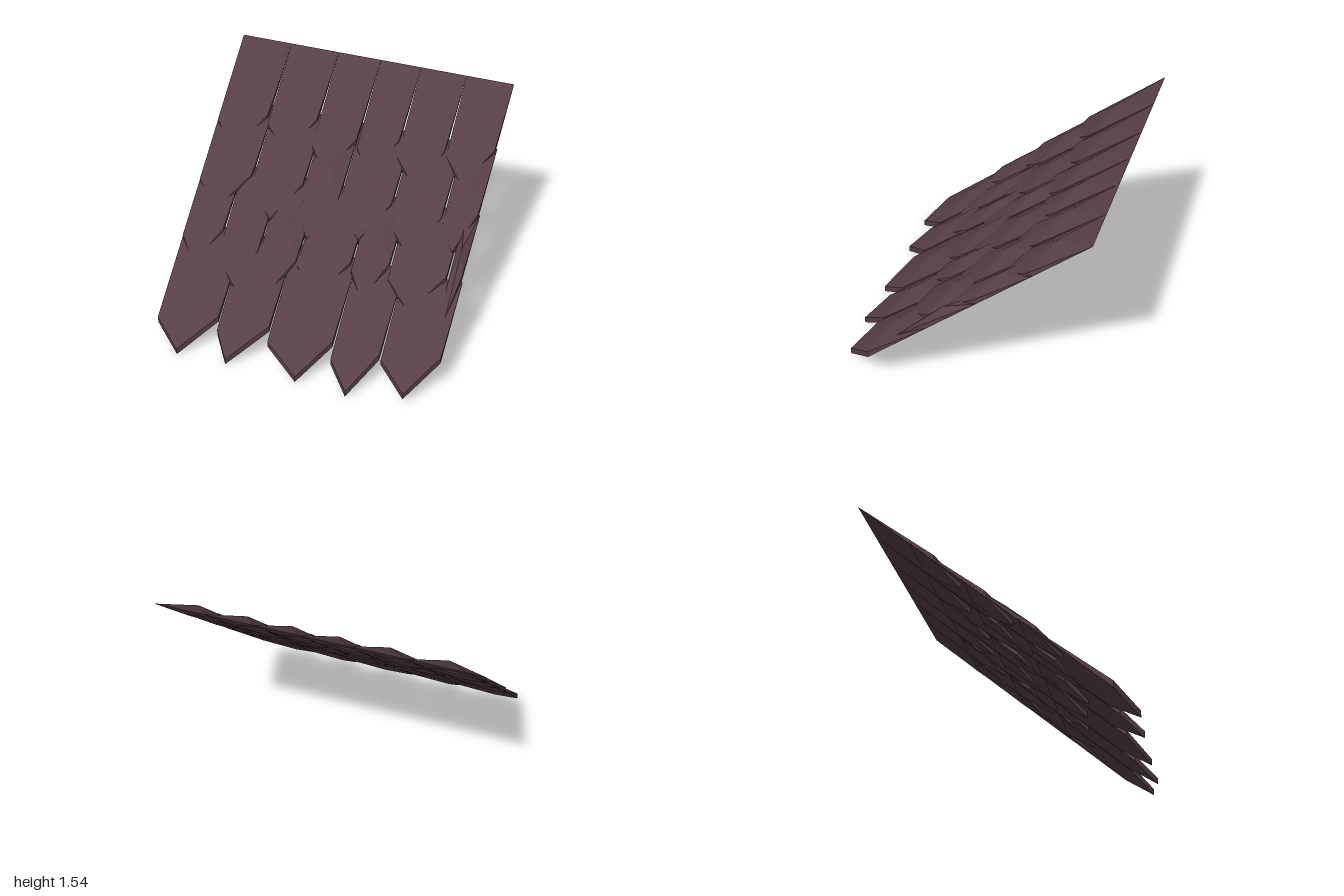
import * as THREE from 'three';

const SLOPE = 0.885;   // drop per unit of depth
const THICK = 0.045;   // vertical thickness of the pointed end
const ROW_Z = 0.353;   // depth between rows
const ROW_Y = 0.307;   // drop between rows

// Wedge shingle: knife-thin at the top, pointed at the bottom, with a low bulge in the middle
function shingleGeometry(x0, x1, len, tipFraction) {
  const w = x1 - x0, inset = 0.009;
  const at = (x, z, lift) => [x, -z * SLOPE + lift, z];
  const topLeft = at(x0, 0, 0), topRight = at(x1, 0, 0);
  const end = [
    [x0 + inset, len - 0.135],
    [x0 + w * tipFraction, len],
    [x1 - inset, len - 0.215],
  ];
  const upper = end.map(([x, z]) => at(x, z, THICK));
  const lower = end.map(([x, z]) => at(x, z, 0));
  const mid = x0 + w * 0.5;
  const bulge = at(mid, len * 0.42, 0.087);
  const hollow = at(mid, len * 0.42, 0.04);

  const tris = [];
  const ringUp = [topLeft, ...upper, topRight];
  const ringLow = [topLeft, ...lower, topRight];
  for (let i = 0; i < 5; i++) {
    const j = (i + 1) % 5;
    tris.push(bulge, ringUp[i], ringUp[j]);       // weather face
    tris.push(hollow, ringLow[j], ringLow[i]);    // underside
  }
  for (let i = 0; i < 2; i++) {                   // pointed end
    tris.push(upper[i], lower[i], lower[i + 1]);
    tris.push(upper[i], lower[i + 1], upper[i + 1]);
  }
  tris.push(topLeft, lower[0], upper[0]);         // side edges
  tris.push(topRight, upper[2], lower[2]);

  const geometry = new THREE.BufferGeometry();
  geometry.setAttribute('position', new THREE.Float32BufferAttribute(tris.flat(), 3));
  geometry.computeVertexNormals();
  return geometry;
}

// Each row: side boundaries, shingle lengths and tip positions, from the ridge down
const ROWS = [
  {
    edges: [-1, -0.625, -0.265, 0.05, 0.345, 0.67, 1],
    lengths: [0.655, 0.625, 0.69, 0.65, 0.66, 0.6],
    tips: [0.5, 0.55, 0.45, 0.5, 0.55, 0.5],
  },
  {
    edges: [-1, -0.615, -0.235, 0.04, 0.41, 0.765, 1],
    lengths: [0.64, 0.63, 0.69, 0.635, 0.65, 0.59],
    tips: [0.5, 0.55, 0.45, 0.55, 0.5, 0.5],
  },
  {
    edges: [-1, -0.705, -0.415, -0.13, 0.245, 0.505, 0.9, 1],
    lengths: [0.6, 0.67, 0.675, 0.62, 0.58, 0.58, 0.56],
    tips: [0.5, 0.66, 0.46, 0.5, 0.5, 0.5, 0.5],
  },
  {
    edges: [-1, -0.555, -0.185, 0.27, 0.6, 1],
    lengths: [0.699, 0.685, 0.68, 0.685, 0.625],
    tips: [0.47, 0.33, 0.57, 0.49, 0.52],
  },
];

export function createModel() {
  const roof = new THREE.Group();
  roof.name = 'shingleRoof';
  const slate = new THREE.MeshStandardMaterial({ color: 0x573f46 });
  slate.name = 'darkPlumSlate';
  slate.flatShading = true;

  ROWS.forEach((row, r) => {
    const course = new THREE.Group();
    course.name = `shingleRow${r + 1}`;
    course.position.set(0, 1.54 - r * ROW_Y, -0.88 + r * ROW_Z);
    row.lengths.forEach((len, i) => {
      const shingle = new THREE.Mesh(
        shingleGeometry(row.edges[i], row.edges[i + 1], len, row.tips[i]), slate);
      shingle.name = `shingle${i + 1}`;
      course.add(shingle);
    });
    roof.add(course);
  });
  return roof;
}
